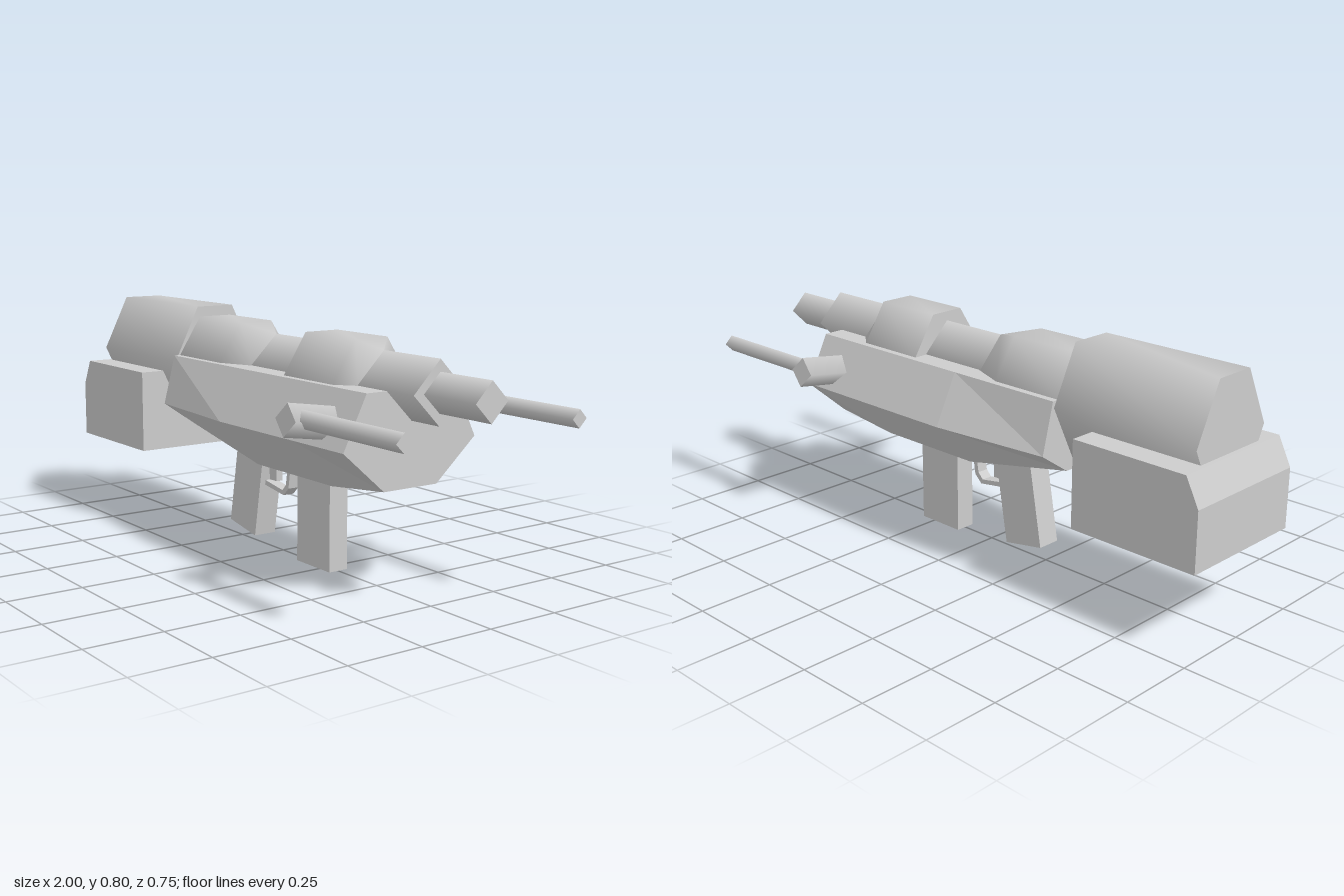
import * as THREE from 'three';

const metal = new THREE.MeshStandardMaterial({ color: 0xcccccc });
metal.name = 'grey metal';

// Loft along x. Each station is [x, half section], the half section being
// [z, y] points from top to bottom, mirrored across z = 0.
function loft(stations, smooth) {
  const rings = stations.map(([x, half]) => {
    const mirrored = half.map(([z, y]) => [-z, y]).reverse();
    return [...half, ...mirrored].map(([z, y]) => [x, y, z]);
  });
  const n = rings[0].length;
  const last = rings.length - 1;
  const positions = [];
  const index = [];
  rings.forEach((ring) => ring.forEach((p) => positions.push(...p)));
  for (let s = 0; s < last; s++) {
    for (let i = 0; i < n; i++) {
      const a = s * n + i;
      const b = s * n + (i + 1) % n;
      index.push(a, b, b + n, a, b + n, a + n);
    }
  }
  // End caps keep their own vertices so their rims stay sharp
  [0, last].forEach((s) => {
    const base = positions.length / 3;
    rings[s].forEach((p) => positions.push(...p));
    for (let i = 1; i < n - 1; i++) {
      if (s === 0) index.push(base, base + i + 1, base + i);
      else index.push(base, base + i, base + i + 1);
    }
  });
  let geo = new THREE.BufferGeometry();
  geo.setAttribute('position', new THREE.Float32BufferAttribute(positions, 3));
  geo.setIndex(index);
  if (!smooth) geo = geo.toNonIndexed();
  geo.computeVertexNormals();
  return geo;
}

// Flat outline in x, y given thickness along z
function plate(points, depth) {
  const shape = new THREE.Shape(points.map(([x, y]) => new THREE.Vector2(x, y)));
  return new THREE.ExtrudeGeometry(shape, { depth, bevelEnabled: false }).translate(0, 0, -depth / 2);
}

// Four-sided bar along x, standing on its edge
function bar(x0, x1, y, z, radius) {
  return new THREE.CylinderGeometry(radius, radius, x1 - x0, 4)
    .rotateZ(-Math.PI / 2)
    .translate((x0 + x1) / 2, y, z);
}

export function createModel() {
  const group = new THREE.Group();
  const add = (name, geo) => {
    const mesh = new THREE.Mesh(geo, metal);
    mesh.name = name;
    group.add(mesh);
    return mesh;
  };

  // Faceted main hull
  const hullSection = (wide, low) => [[0.168, 0.63], [wide, 0.465], [0.1, low]];
  add('hull', loft([
    [-0.42, hullSection(0.21, 0.39)],
    [0, hullSection(0.25, 0.307)],
    [0.4, hullSection(0.25, 0.307)],
    [0.65, hullSection(0.25, 0.335)],
  ], false));

  // Six-sided housings, two of which narrow onto the barrel
  const hex = (top, wide, height, mid) => [[top, mid + height], [wide, mid], [top, mid - height]];
  const rear = hex(0.071, 0.163, 0.187, 0.608);
  const sleeve = hex(0.062, 0.145, 0.13, 0.63);
  const neck = hex(0, 0.097, 0.099, 0.63);
  add('rearTube', loft([[-0.94, rear], [-0.42, rear]], true));
  add('receiver', loft([[-0.42, sleeve], [-0.16, sleeve], [-0.04, neck]], true));
  add('barrelSleeve', loft([[0.21, sleeve], [0.46, sleeve], [0.52, neck]], true));

  // Barrel and muzzle
  add('barrel', bar(-0.1, 0.77, 0.632, 0, 0.097));
  add('muzzle', bar(0.7, 0.98, 0.632, 0, 0.06));

  // Rear box with its sloped back edge
  add('rearBox', plate([[-1, 0.277], [-0.55, 0.277], [-0.55, 0.56], [-0.955, 0.56], [-1, 0.47]], 0.45));

  // Handles under the hull
  add('grip', plate([[-0.262, 0.06], [-0.11, 0.033], [-0.05, 0.38], [-0.202, 0.4]], 0.082));
  add('frontHandle', new THREE.BoxGeometry(0.175, 0.36, 0.07).translate(0.217, 0.18, 0));

  // Trigger and its guard
  add('trigger', plate([[-0.06, 0.235], [-0.022, 0.235], [-0.022, 0.33], [-0.07, 0.33]], 0.025));
  add('triggerGuard', plate([
    [-0.085, 0.215], [0.03, 0.198], [0.058, 0.225], [0.074, 0.325],
    [0.058, 0.325], [0.043, 0.235], [0.023, 0.214], [-0.08, 0.231],
  ], 0.04));

  // Side barrels on slightly raised mounts
  for (const [side, label] of [[1, 'left'], [-1, 'right']]) {
    const mount = add(label + 'Mount', new THREE.CylinderGeometry(0.05, 0.05, 0.2, 4).rotateX(Math.PI / 2));
    mount.position.set(0.535, 0.542, side * 0.269);
    mount.rotation.x = -side * 0.15;
    add(label + 'SideBarrel', bar(0.535, 1, 0.558, side * 0.323, 0.028));
  }
  return group;
}
